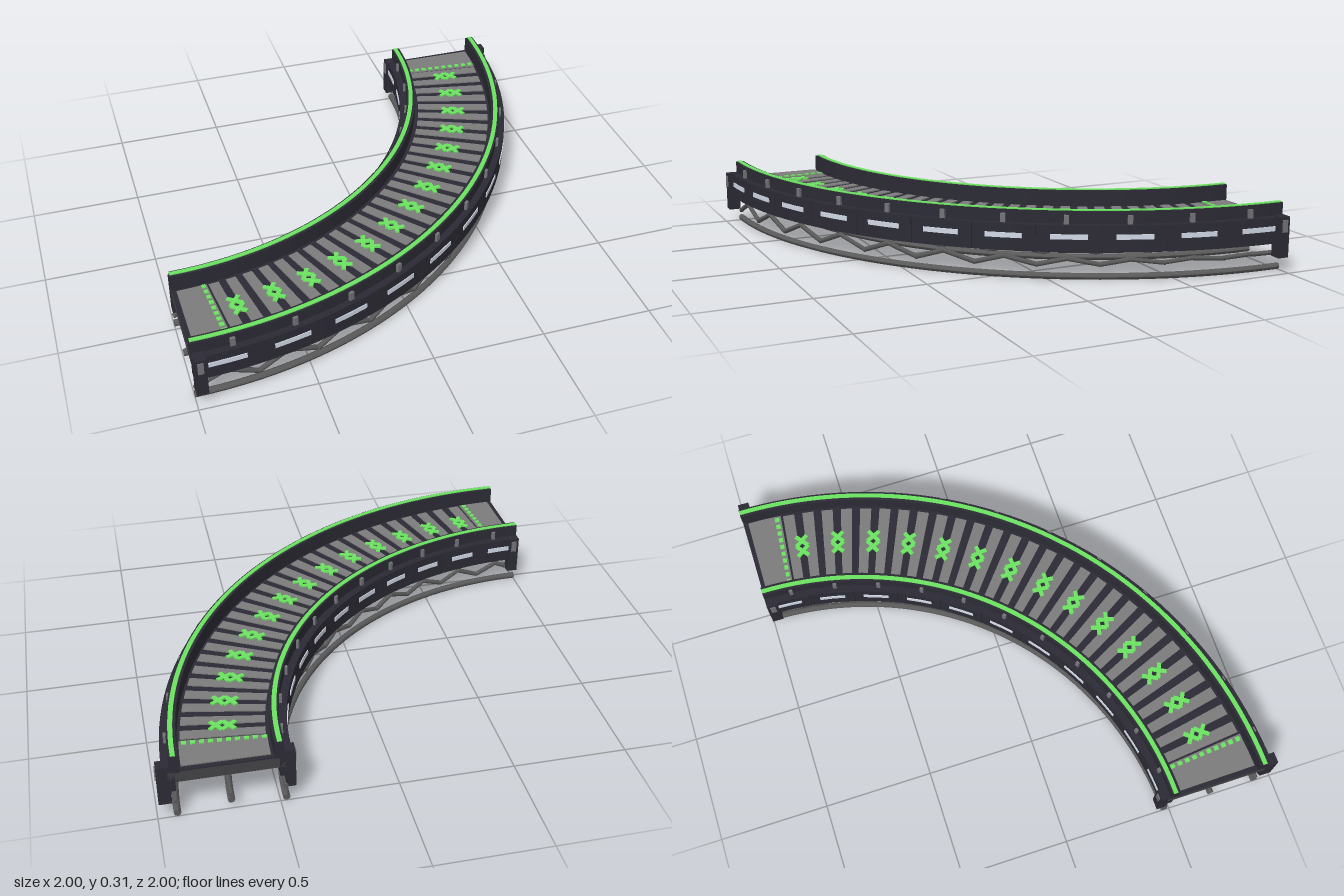
import * as THREE from 'three';

const DEG = Math.PI / 180;
const CX = -1, CZ = -1; // centre of the quarter bend

function mat(name, color) {
  const m = new THREE.MeshStandardMaterial({ color });
  m.name = name;
  return m;
}

// Point on the bend: radius, angle in degrees, height
function at(r, deg, y) {
  return new THREE.Vector3(CX + r * Math.sin(deg * DEG), y, CZ + r * Math.cos(deg * DEG));
}

// Bends a geometry whose x is an angle in degrees and z is a radius
function bend(geo) {
  const p = geo.attributes.position;
  for (let i = 0; i < p.count; i++) {
    const v = at(p.getZ(i), p.getX(i), p.getY(i));
    p.setXYZ(i, v.x, v.y, v.z);
  }
  geo.computeVertexNormals();
  return geo;
}

// Curved bar with a rectangular section
function band(r0, r1, y0, y1, a0, a1) {
  const segs = Math.max(1, Math.round((a1 - a0) / 2));
  const g = new THREE.BoxGeometry(a1 - a0, y1 - y0, r1 - r0, segs, 1, 1);
  g.translate((a0 + a1) / 2, (y0 + y1) / 2, (r0 + r1) / 2);
  return bend(g);
}

// Curved round pipe over the full bend
function pipe(r, y, radius) {
  const g = new THREE.CylinderGeometry(radius, radius, 90, 8, 44);
  g.rotateZ(Math.PI / 2);
  g.translate(45, y, r);
  return bend(g);
}

export function createModel() {
  const root = new THREE.Group();
  root.name = 'curvedTrackSection';

  const frame = mat('dark frame', 0x2c2b35);
  const under = mat('deck underside', 0x434345);
  const slatGrey = mat('slat grey', 0x7c7c7c);
  const glow = mat('bright green', 0x6be460);
  const light = mat('pale light', 0xdce4f2);
  const steel = mat('truss steel', 0x5a5a5a);
  const fitting = mat('fitting grey', 0x737379);

  const add = (name, geo, material, parent = root) => {
    const m = new THREE.Mesh(geo, material);
    m.name = name;
    parent.add(m);
    return m;
  };

  // Deck body with a dark top sheet
  add('deck', band(1.47, 1.945, 0.175, 0.226, 0, 90), under);
  add('deckTop', band(1.47, 1.945, 0.224, 0.231, 0, 90), frame);

  // Flat plates and dashed lines at both ends
  for (const end of [0, 1]) {
    const span = (a, b) => (end ? [90 - b, 90 - a] : [a, b]);
    add('endPlate', band(1.53, 1.89, 0.229, 0.236, ...span(0.7, 5.5)), slatGrey);
    for (let i = 0; i < 10; i++) {
      const r = 1.533 + i * 0.0362;
      add('startDash', band(r, r + 0.021, 0.235, 0.241, ...span(4.6, 5.25)), glow);
    }
  }

  // Grey slats across the deck
  const step = 5.68, first = 45 - 6.5 * step;
  for (let i = 0; i < 28; i++) {
    const a = first - step / 4 + (i * step) / 2;
    add('slat', band(1.535, 1.885, 0.229, 0.236, a - 0.82, a + 0.82), slatGrey);
  }

  // Crossed chevron markers along the centre line
  for (let i = 0; i < 14; i++) {
    const a = first + i * step;
    const marker = new THREE.Group();
    marker.name = 'chevronMarker';
    marker.position.copy(at(1.71, a, 0.239));
    marker.rotation.y = a * DEG;
    for (const sx of [-1, 1]) for (const sz of [-1, 1]) {
      const dx = -0.054 * sx, dz = 0.052 * sz;
      const bar = add('markerBar', new THREE.BoxGeometry(Math.hypot(dx, dz), 0.008, 0.019), glow, marker);
      bar.position.set(0.028 * sx + dx / 2, 0, dz / 2);
      bar.rotation.y = -Math.atan2(dz, dx);
    }
    root.add(marker);
  }

  // Inner and outer walls; dir points away from the deck
  const panel = 90 / 11;
  for (const [side, dir, lip, skirt] of [['inner', -1, 1.478, 1.455], ['outer', 1, 1.937, 1.957]]) {
    const ring = (name, a, b, y0, y1, t0, t1, m) =>
      add(side + name, band(Math.min(a, b), Math.max(a, b), y0, y1, t0, t1), m);

    ring('Rail', lip - dir * 0.04, lip, 0.22, 0.305, 0, 90, frame);
    ring('RailLight', lip - dir * 0.028, lip - dir * 0.008, 0.303, 0.309, 0, 90, glow);
    ring('Skirt', lip - dir * 0.02, skirt, 0.13, 0.25, 0, 90, frame);

    // Wall panels with a light strip each
    for (let i = 0; i < 11; i++) {
      const mid = (i + 0.5) * panel;
      ring('Panel', skirt - dir * 0.005, skirt + dir * 0.01, 0.132, 0.249, mid - 4.05, mid + 4.05, frame);
      ring('LightStrip', skirt + dir * 0.008, skirt + dir * 0.014, 0.189, 0.211, mid - 2.35, mid + 2.35, light);
      const a = 5 + i * 8;
      ring('RailStud', lip - dir * 0.005, lip + dir * 0.012, 0.25, 0.289, a - 0.32, a + 0.32, fitting);
    }

    // End posts with a small plate
    const w = side === 'inner' ? 2 : 1.45;
    const out = side === 'inner' ? 0.022 : 0.034;
    for (const t of [0, 90 - w]) {
      ring('Post', skirt - dir * 0.02, skirt + dir * out, 0.07, 0.253, t, t + w, frame);
      ring('PostPlate', skirt + dir * (out - 0.002), skirt + dir * (out + 0.005), 0.185, 0.24, t + w * 0.25, t + w * 0.75, fitting);
    }
  }

  // Three trusses under the deck: a pipe with loose struts above it,
  // rocked about one fixed axis so they flatten towards the far end
  const up = new THREE.Vector3(0, 1, 0);
  const axis = new THREE.Vector3(0, 0, 1);
  for (const [r, pipeY, strutY] of [[1.475, 0.015, 0.08], [1.7, 0.043, 0.075], [1.92, 0.015, 0.08]]) {
    add('trussPipe', pipe(r, pipeY, 0.015), steel);
    const length = (r * panel * DEG) / 2 + 0.012;
    for (let i = 0; i < 22; i++) {
      const a = ((i + 0.5) * panel) / 2;
      const dir = new THREE.Vector3(Math.cos(a * DEG), 0, -Math.sin(a * DEG));
      dir.applyAxisAngle(axis, (i % 2 ? -1 : 1) * 24 * DEG);
      const strut = add('trussStrut', new THREE.CylinderGeometry(0.011, 0.011, length, 6), steel);
      strut.position.copy(at(r, a, strutY));
      strut.quaternion.setFromUnitVectors(up, dir);
    }
  }

  return root;
}
